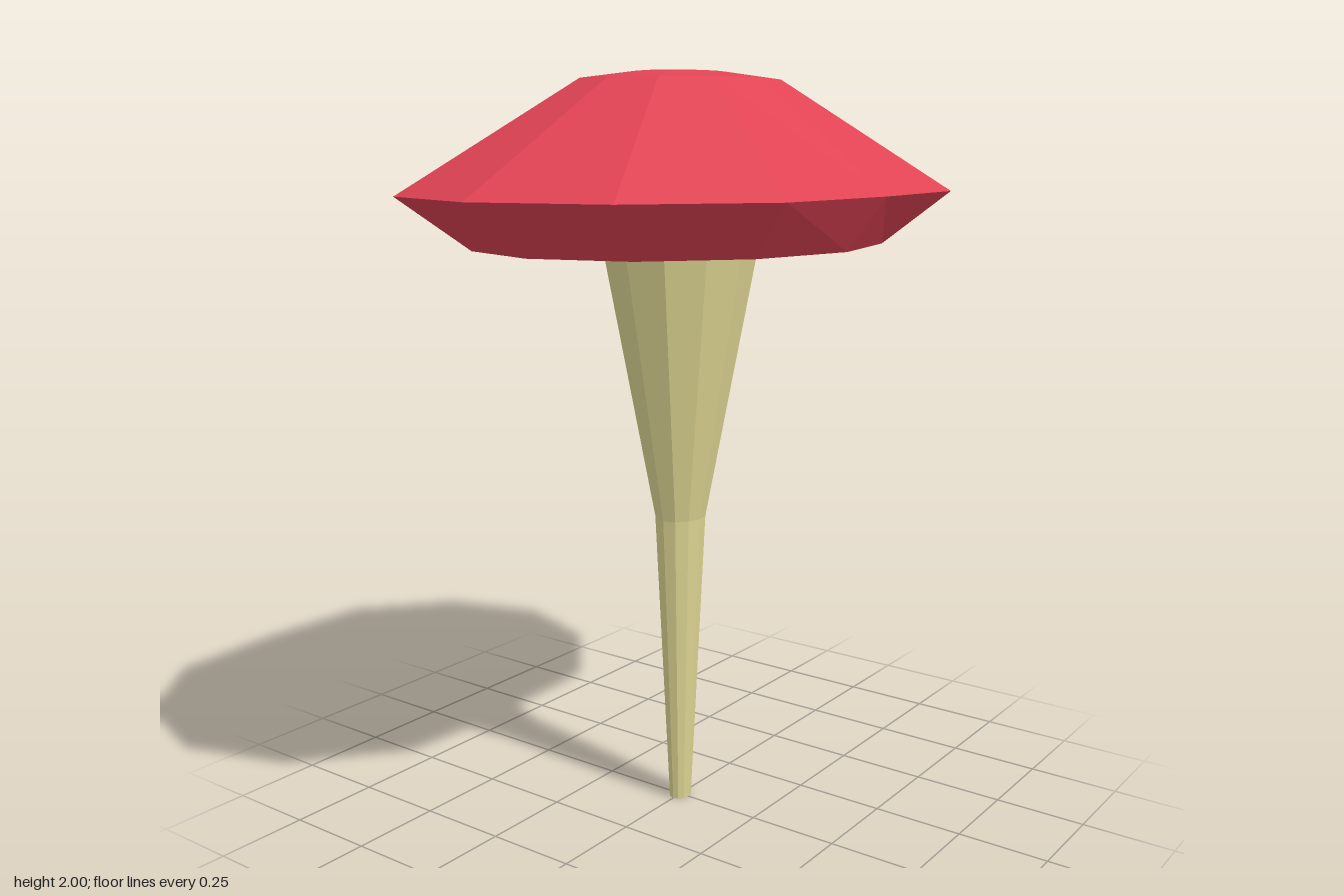
import * as THREE from 'three';

const SIDES = 12;
const OVAL = 0.835; // width of every ring relative to its depth

// Faceted oval solid from [depth radius, height] pairs, bottom to top
function ovalLathe(name, profile, color) {
  const geometry = new THREE.LatheGeometry(profile.map(([r, y]) => new THREE.Vector2(r, y)), SIDES);
  geometry.scale(OVAL, 1, 1);
  const material = new THREE.MeshStandardMaterial({ color, flatShading: true });
  const mesh = new THREE.Mesh(geometry, material);
  mesh.name = name;
  return mesh;
}

export function createModel() {
  const group = new THREE.Group();
  group.name = 'mushroom';

  // Cap: flat underside, sharp rim, sloping top with a small flat crown
  const cap = ovalLathe('cap', [
    [0, 1.565], [0.6, 1.565], [0.798, 1.7], [0.293, 1.98], [0.13, 2], [0, 2],
  ], 0xe04353);

  // The rim is pulled in slightly at the two sides
  const pos = cap.geometry.attributes.position;
  for (let i = 0; i < pos.count; i++) {
    pos.setX(i, THREE.MathUtils.clamp(pos.getX(i), -0.603, 0.603));
  }
  cap.geometry.computeVertexNormals();

  // Stem: thin foot, flaring towards the cap
  const stem = ovalLathe('stem', [
    [0, 0], [0.034, 0], [0.078, 0.825], [0.235, 1.565],
  ], 0xdcd492);

  group.add(cap, stem);
  return group;
}
